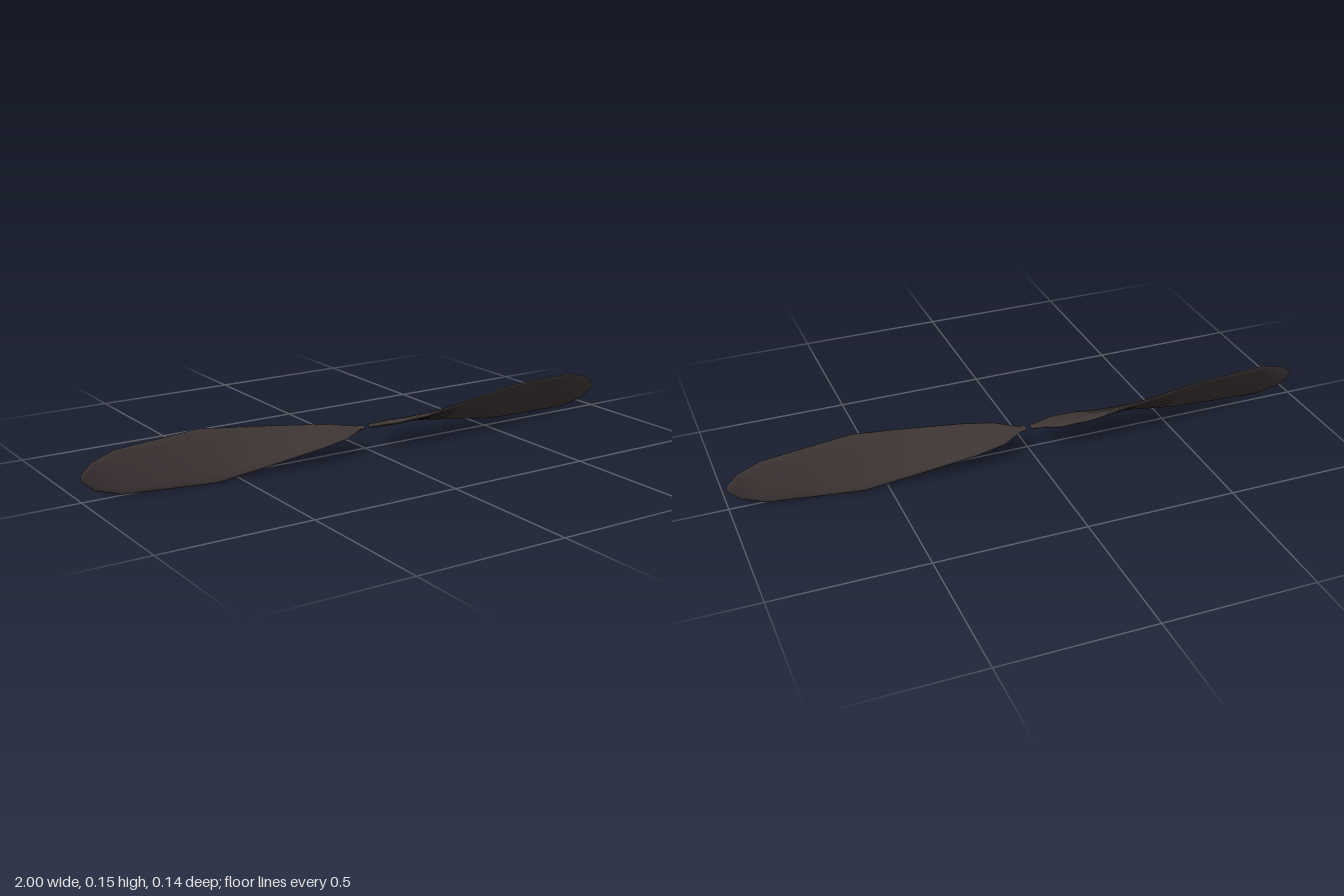
import * as THREE from 'three';

// Blade stations: [x, leading edge z, leading edge y, half thickness]
const STATIONS = [
  [0.008, 0.014, 0.0, 0.006],
  [0.03, 0.016, 0.001, 0.006],
  [0.1, 0.055, 0.011, 0.007],
  [0.2, 0.07, 0.022, 0.008],
  [0.39, 0.064, 0.049, 0.008],
  [0.58, 0.056, 0.074, 0.008],
  [0.88, 0.019, 0.065, 0.007],
  [0.96, 0.008, 0.042, 0.006],
  [1.0, 0.001, 0.008, 0.004],
];
const SIDES = 16;
const HUB_HEIGHT = 0.077;

// Twisted blade lofted along +x through elliptical sections, closed at both ends
function bladeGeometry() {
  const positions = [];
  const indices = [];
  const ring = ([x, z, y, thick]) => {
    const chord = Math.hypot(z, y);
    const dz = z / chord, dy = y / chord;
    for (let i = 0; i < SIDES; i++) {
      const a = (i / SIDES) * Math.PI * 2;
      const along = Math.cos(a) * chord, across = Math.sin(a) * thick;
      positions.push(x, dy * along + dz * across, dz * along - dy * across);
    }
  };
  STATIONS.forEach(ring);
  for (let s = 0; s < STATIONS.length - 1; s++) {
    for (let i = 0; i < SIDES; i++) {
      const j = (i + 1) % SIDES;
      const a = s * SIDES + i, b = s * SIDES + j;
      const c = a + SIDES, d = b + SIDES;
      indices.push(a, b, c, b, d, c);
    }
  }
  // Flat end caps with their own vertices
  const addCap = (station, outward) => {
    const start = positions.length / 3;
    ring(station);
    for (let i = 1; i < SIDES - 1; i++) {
      if (outward) indices.push(start, start + i + 1, start + i);
      else indices.push(start, start + i, start + i + 1);
    }
  };
  addCap(STATIONS[0], false);
  addCap(STATIONS[STATIONS.length - 1], true);
  // Check the winding through the signed volume and flip if it faces inwards
  const p = (i) => new THREE.Vector3().fromArray(positions, i * 3);
  let volume = 0;
  for (let i = 0; i < indices.length; i += 3) {
    volume += p(indices[i]).dot(p(indices[i + 1]).cross(p(indices[i + 2])));
  }
  if (volume < 0) indices.reverse();

  const geometry = new THREE.BufferGeometry();
  geometry.setAttribute('position', new THREE.Float32BufferAttribute(positions, 3));
  geometry.setIndex(indices);
  geometry.computeVertexNormals();
  return geometry;
}

export function createModel() {
  const group = new THREE.Group();
  group.name = 'propeller';
  const material = new THREE.MeshStandardMaterial({ color: 0x403636 });
  material.name = 'dark brown';
  const geometry = bladeGeometry();

  // Two identical blades, half a turn apart
  ['leftBlade', 'rightBlade'].forEach((name, i) => {
    const blade = new THREE.Mesh(geometry, material);
    blade.name = name;
    blade.position.y = HUB_HEIGHT;
    blade.rotation.y = i * Math.PI;
    group.add(blade);
  });
  return group;
}
